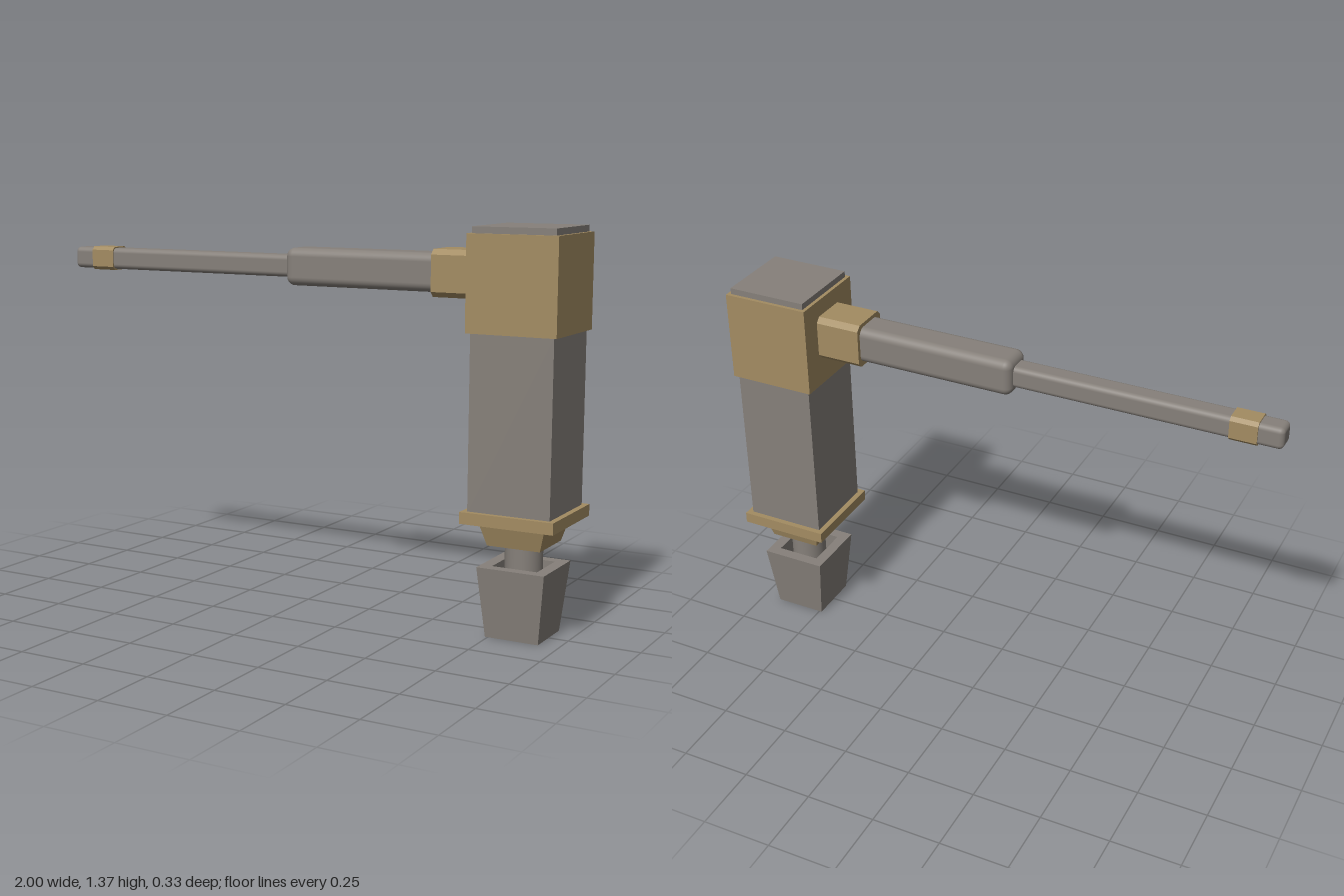
import * as THREE from 'three';
import { RoundedBoxGeometry } from 'three/addons/geometries/RoundedBoxGeometry.js';

export function createModel() {
  const model = new THREE.Group();
  const steel = new THREE.MeshStandardMaterial({ color: 0x86807a });
  steel.name = 'steel grey';
  const brass = new THREE.MeshStandardMaterial({ color: 0xa38c62 });
  brass.name = 'dull brass';

  const CX = 0.835; // vertical axis of the square column
  const AY = 1.21;  // height of the arm axis

  function add(name, geometry, material, x, y) {
    const mesh = new THREE.Mesh(geometry, material);
    mesh.name = name;
    mesh.position.set(x, y, 0);
    model.add(mesh);
  }

  // Square block on the column, given half width and bottom/top heights
  function block(name, half, y0, y1, material) {
    add(name, new THREE.BoxGeometry(half * 2, y1 - y0, half * 2), material, CX, (y0 + y1) / 2);
  }

  // Four-sided turned profile of [half width, height], with flat faces
  function squareLathe(name, profile, material) {
    const points = profile.map(([h, y]) => new THREE.Vector2(h * Math.SQRT2, y));
    const geometry = new THREE.LatheGeometry(points, 4, Math.PI / 4).toNonIndexed();
    geometry.computeVertexNormals();
    add(name, geometry, material, CX, 0);
  }

  // Rounded square bar along the arm
  function bar(name, x0, x1, half, radius) {
    add(name, new RoundedBoxGeometry(x1 - x0, half * 2, half * 2, 4, radius), steel, (x0 + x1) / 2, AY);
  }

  // Square collar with chamfered long edges, along the arm
  function collar(name, x0, x1, half, chamfer) {
    const c = half - chamfer;
    const outline = [[half, -c], [half, c], [c, half], [-c, half], [-half, c], [-half, -c], [-c, -half], [c, -half]];
    const shape = new THREE.Shape(outline.map(([x, y]) => new THREE.Vector2(x, y)));
    const geometry = new THREE.ExtrudeGeometry(shape, { depth: x1 - x0, bevelEnabled: false });
    geometry.rotateY(Math.PI / 2);
    add(name, geometry, brass, x0, AY);
  }

  // Column
  block('topCap', 0.145, 1.34, 1.372, steel);
  block('headBlock', 0.158, 1.027, 1.35, brass);
  block('columnBody', 0.145, 0.43, 1.03, steel);
  block('basePlate', 0.165, 0.395, 0.435, brass);
  squareLathe('taperedNeck', [[0, 0.315], [0.094, 0.315], [0.117, 0.396], [0, 0.396]], brass);

  // Rod running down through the hollow foot
  add('rod', new THREE.CylinderGeometry(0.064, 0.064, 0.31, 32), steel, CX, 0.165);
  squareLathe('hollowFoot', [[0.08, 0], [0.095, 0], [0.12, 0.243], [0.08, 0.243], [0.08, 0]], steel);

  // Side arm
  collar('armCollar', 0.515, 0.68, 0.08, 0.018);
  bar('armSleeve', -0.06, 0.56, 0.066, 0.03);
  bar('armShaft', -1, 0, 0.039, 0.018);
  collar('armBand', -0.915, -0.82, 0.043, 0.012);

  return model;
}
